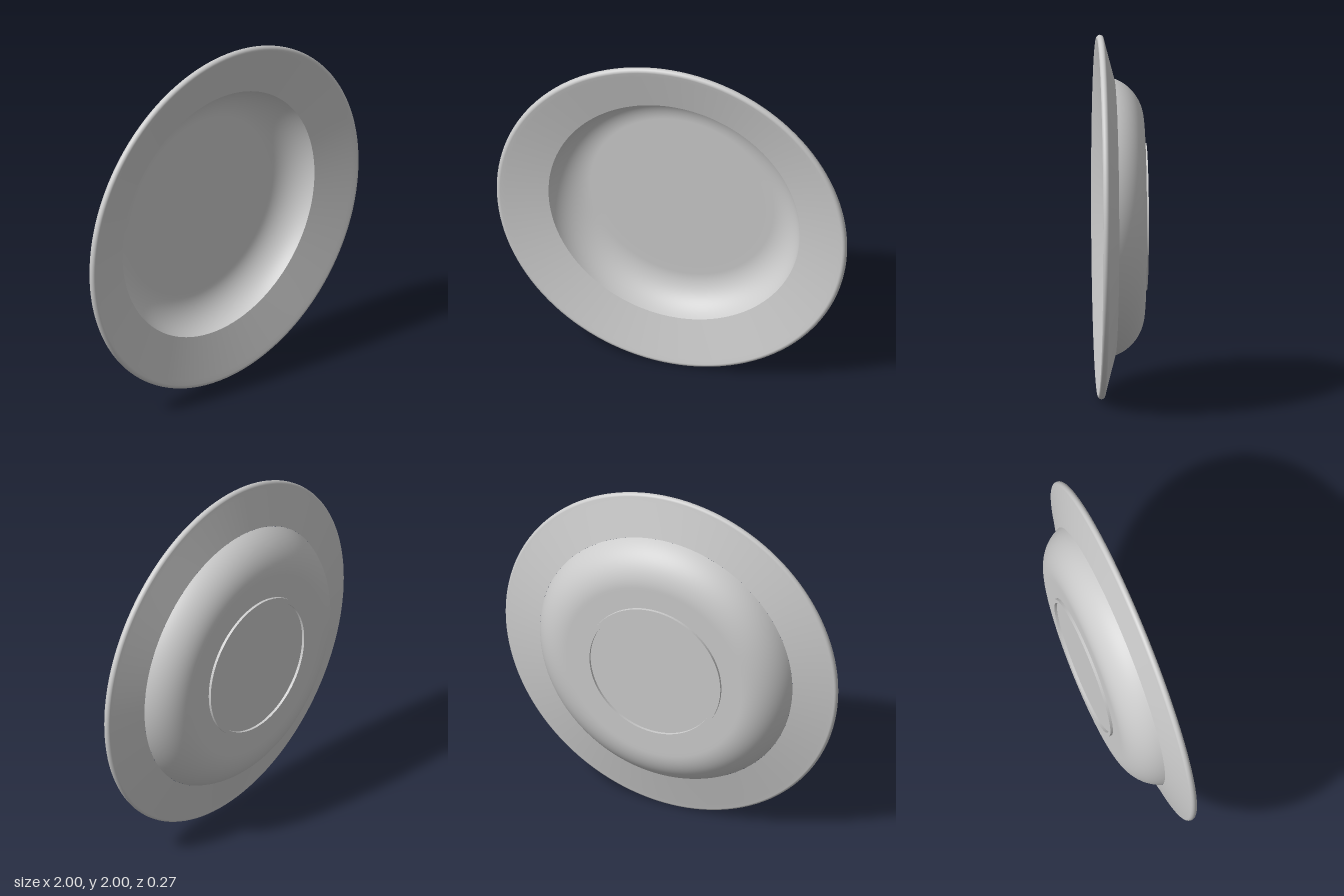
import * as THREE from 'three';

const SEGMENTS = 128;
const SLOPE = 0.239; // tilt of the rim, radians

// Points on an arc in the (radius, depth) half plane, angle 0 pointing outward
function arc(cx, cy, r, from, to, steps) {
  return Array.from({ length: steps + 1 }, (_, i) => {
    const a = from + (to - from) * (i / steps);
    return [cx + r * Math.cos(a), cy + r * Math.sin(a)];
  });
}

export function createModel() {
  const group = new THREE.Group();
  group.name = 'plate';
  const material = new THREE.MeshStandardMaterial({ color: 0xcccccc });

  // Each smooth stretch of the profile is its own lathe, so joins stay crisp
  function turned(name, points, parent = group) {
    const geometry = new THREE.LatheGeometry(points.map(([r, z]) => new THREE.Vector2(r, z)), SEGMENTS);
    geometry.rotateX(Math.PI / 2); // lathe axis now faces the front
    const mesh = new THREE.Mesh(geometry, material);
    mesh.name = name;
    parent.add(mesh);
  }

  const down = -Math.PI / 2;

  // Back of the bowl: flat base curving up to the rim
  turned('bowlBack', [[0, -0.12], [0.5, -0.12],
    ...arc(0.53, 0.125, 0.245, down, -0.354, 20)]);

  // Sloped rim with a rounded lip
  turned('rim', [[0.76, 0.04], [0.96, 0.0925],
    ...arc(0.981, 0.1165, 0.019, down + SLOPE, Math.PI / 2 + SLOPE, 14),
    [0.95, 0.129], [0.718, 0.072]]);

  // Inside of the bowl: wall curving down to the flat floor
  turned('bowlInside', [...arc(0.52, 0.125, 0.205, -0.26, down, 20), [0.48, -0.08], [0, -0.08]]);

  // Foot ring on the back
  const foot = new THREE.Group();
  foot.name = 'footRing';
  group.add(foot);
  const outer = 0.405, inner = 0.383, base = -0.12, end = -0.135;
  turned('footInnerWall', [[inner, base], [inner, end]], foot);
  turned('footFace', [[inner, end], [outer, end]], foot);
  turned('footOuterWall', [[outer, end], [outer, base]], foot);

  group.position.y = 1;
  const model = new THREE.Group();
  model.add(group);
  return model;
}
